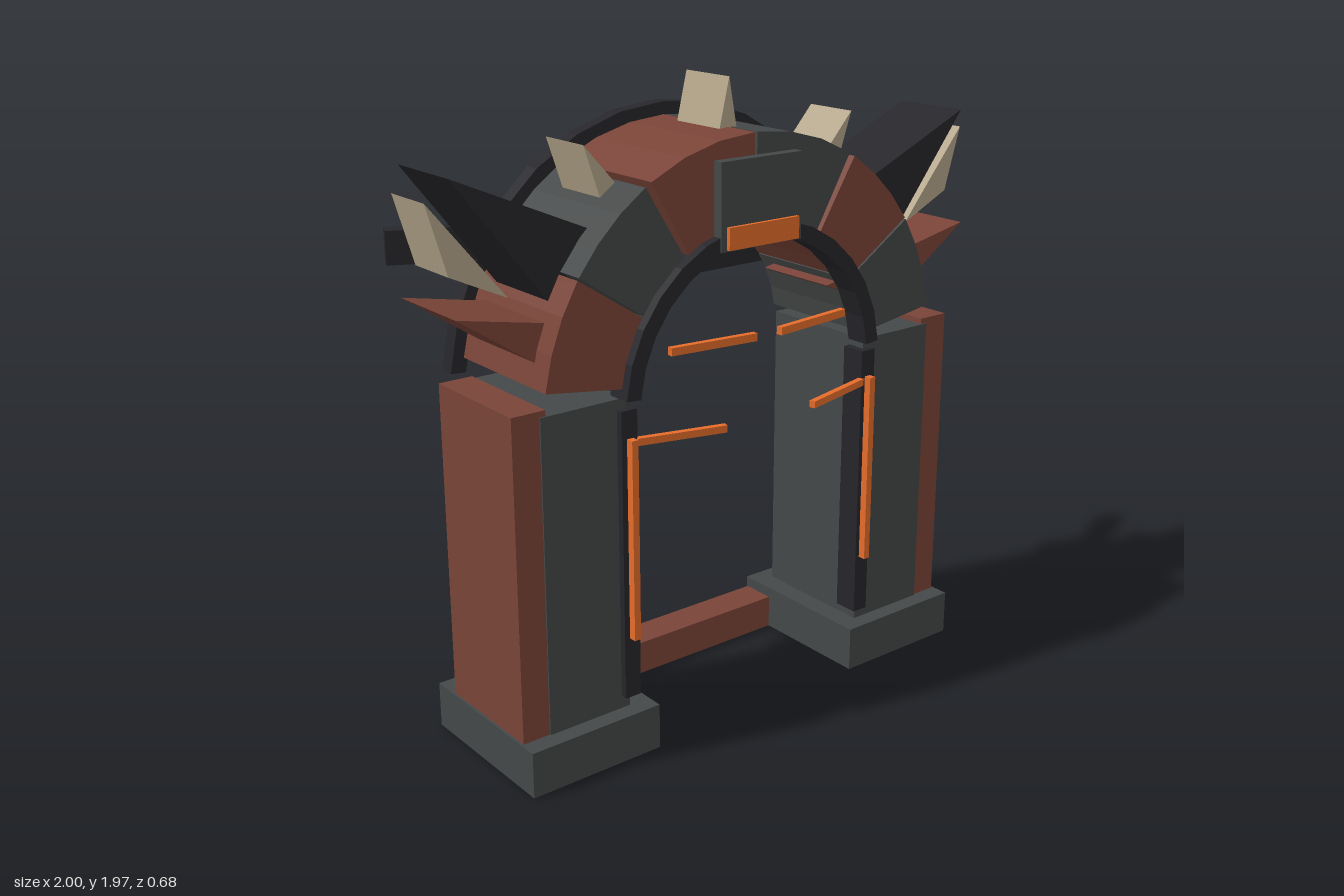
import * as THREE from 'three';

const mat = (color) => new THREE.MeshStandardMaterial({ color, flatShading: true });

export function createModel() {
  const root = new THREE.Group();
  root.name = 'stoneGate';
  const brick = mat(0x7a4438), slate = mat(0x454848), dark = mat(0x26262b);
  const bone = mat(0xb5a68a), glow = mat(0xe56c2a);
  const CY = 1.08; // height of the arch centre

  function add(name, geometry, material) {
    const mesh = new THREE.Mesh(geometry, material);
    mesh.name = name;
    root.add(mesh);
    return mesh;
  }

  // box given by its limits
  function box(name, m, [x0, x1], [y0, y1], [z0, z1]) {
    const mesh = add(name, new THREE.BoxGeometry(Math.abs(x1 - x0), y1 - y0, z1 - z0), m);
    mesh.position.set((x0 + x1) / 2, (y0 + y1) / 2, (z0 + z1) / 2);
    return mesh;
  }

  // flat outline in x, y extruded from z0 to z1
  function prism(name, m, points, z0, z1) {
    const shape = new THREE.Shape(points.map(([x, y]) => new THREE.Vector2(x, y)));
    const geo = new THREE.ExtrudeGeometry(shape, { depth: z1 - z0, bevelEnabled: false });
    geo.translate(0, 0, z0);
    return add(name, geo, m);
  }

  // faceted piece of a ring, angles in degrees
  function arc(name, m, r0, r1, a0, a1, steps, z0, z1) {
    const outer = [], inner = [];
    for (let i = 0; i <= steps; i++) {
      const a = THREE.MathUtils.degToRad(a0 + ((a1 - a0) * i) / steps);
      outer.push([r1 * Math.cos(a), CY + r1 * Math.sin(a)]);
      inner.unshift([r0 * Math.cos(a), CY + r0 * Math.sin(a)]);
    }
    return prism(name, m, [...outer, ...inner], z0, z1);
  }

  // bar turned about the vertical axis
  function bar(name, m, size, pos, yaw) {
    const mesh = add(name, new THREE.BoxGeometry(...size), m);
    mesh.position.set(...pos);
    mesh.rotation.y = yaw;
  }

  for (const s of [1, -1]) {
    const side = s > 0 ? 'left' : 'right';
    const sx = (a, b) => [s * a, s * b];
    const flip = (pts) => pts.map(([x, y]) => [s * x, y]);

    // pillars
    box(side + 'Plinth', slate, sx(0.395, 0.848), [0, 0.145], [-0.235, 0.295]);
    box(side + 'PillarCore', slate, sx(0.465, 0.75), [0.14, 1.122], [-0.18, 0.24]);
    box(side + 'PillarOuterBlock', brick, sx(0.73, 0.84), [0.14, 1.14], [-0.15, 0.235]);
    box(side + 'PillarTrim', dark, sx(0.44, 0.495), [0.185, 1.09], [0.18, 0.262]);

    // glowing strips and bars
    box(side + 'GlowStrip', glow, sx(0.455, 0.477), [0.38, 1.005], [0.25, 0.287]);
    bar(side + 'LowerGlowBar', glow, [0.28, 0.022, 0.02], [s * 0.305, 0.99, 0.295], s * 0.25);
    bar(side + 'UpperGlowBar', glow, [0.29, 0.024, 0.02], [s * 0.19, 1.241, 0.295], s * 0.12);

    // wedge-shaped horns and tusks
    prism(side + 'LowerHorn', brick, flip([[0.96, 1.42], [0.36, 1.3], [0.62, 1.19]]), -0.12, 0.177);
    prism(side + 'UpperHorn', dark, flip([[0.952, 1.79], [0.45, 1.57], [0.63, 1.38]]), -0.105, 0.16);
    prism(side + 'OuterTusk', bone, flip([[1, 1.725], [0.76, 1.435], [0.94, 1.52]]), -0.06, 0.115);
    prism(side + 'CrownSpike', bone, flip([[0.503, 1.823], [0.37, 1.675], [0.43, 1.61]]), -0.07, 0.115);

    // angled arm at the end of the back beam
    bar(side + 'BeamArm', dark, [0.35, 0.1, 0.055], [s * 0.74, 1.52, -0.24], s * 0.42);
  }

  box('threshold', brick, [-0.4, 0.4], [0, 0.11], [-0.23, -0.115]);

  // arch stones, alternating in colour
  const joints = [[8.5, 33.2], [33.8, 58.2], [60, 89.5], [90.2, 120], [121.8, 146.2], [146.8, 171.5]];
  joints.forEach(([a0, a1], i) => {
    arc('archStone', i % 2 ? brick : slate, 0.46, 0.745, a0, a1, 3, -0.18, 0.25);
  });
  arc('innerTrim', dark, 0.44, 0.49, 5, 175, 14, 0.2, 0.28);
  arc('backHoop', dark, 0.735, 0.785, 5, 175, 14, -0.23, -0.18);

  // keystone, lamp, top spike and back beam
  box('keystone', slate, [-0.153, 0.15], [1.5, 1.76], [0.18, 0.284]);
  box('lamp', glow, [-0.132, 0.132], [1.505, 1.572], [0.2, 0.296]);
  prism('topSpike', bone, [[0, 1.97], [-0.048, 1.77], [0.038, 1.77]], -0.07, 0.13);
  box('backBeam', dark, [-0.63, 0.63], [1.305, 1.53], [-0.24, -0.185]);

  return root;
}
